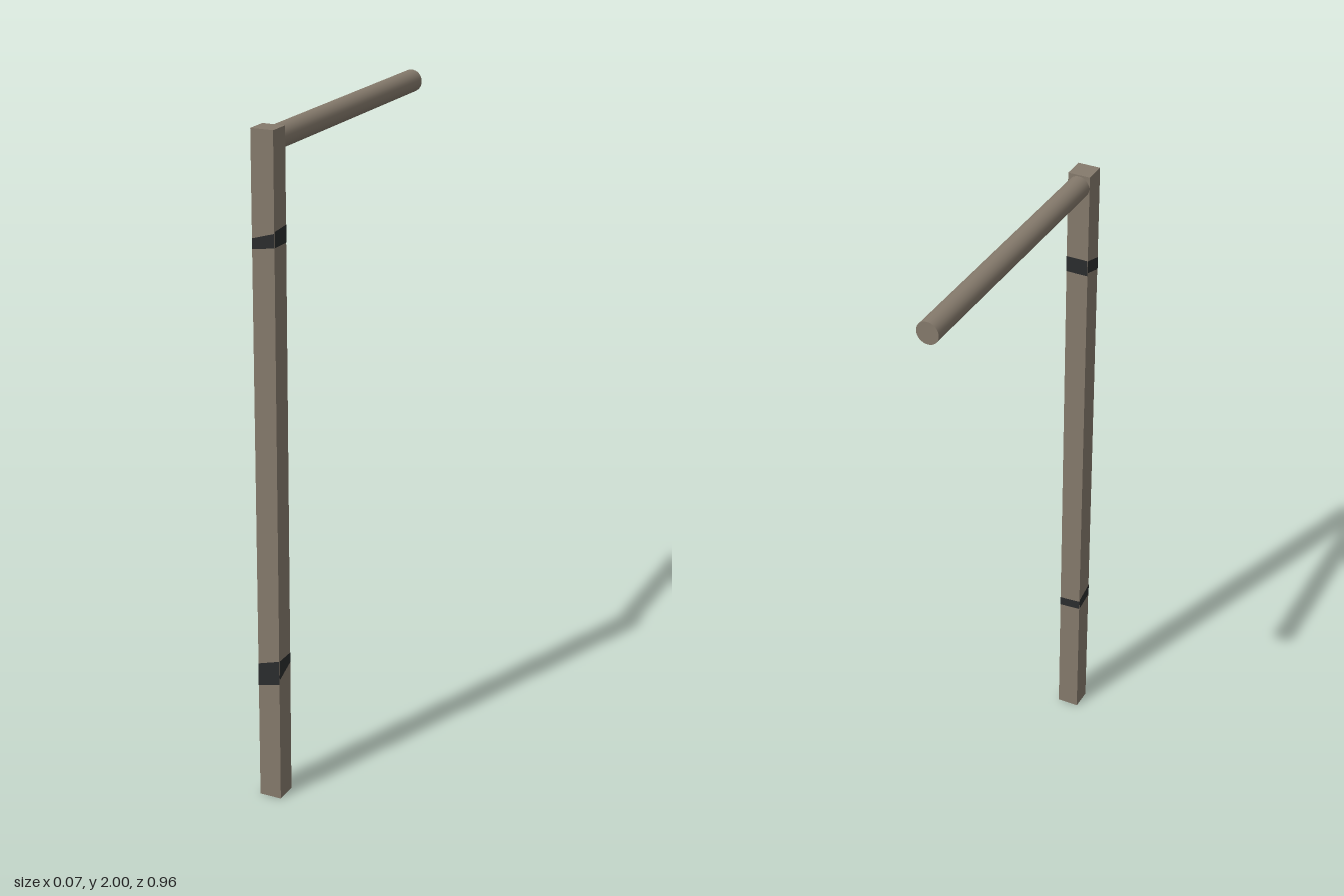
import * as THREE from 'three';

const HALF = 0.034, POST_Z = 0.443, HEIGHT = 2;

export function createModel() {
  const group = new THREE.Group();
  const wood = new THREE.MeshStandardMaterial({ color: 0x857a6c });
  wood.name = 'weathered wood';
  const dark = new THREE.MeshStandardMaterial({ color: 0x2a2c2d });
  dark.name = 'dark band';

  const add = (name, geometry, material, parent = group) => {
    const mesh = new THREE.Mesh(geometry, material);
    mesh.name = name;
    parent.add(mesh);
    return mesh;
  };

  // Upright square post
  add('post', new THREE.BoxGeometry(HALF * 2, HEIGHT, HALF * 2), wood)
    .position.set(0, HEIGHT / 2, POST_Z);

  // Round arm reaching back from the top of the post
  const arm = add('arm', new THREE.CylinderGeometry(0.0335, 0.0335, 0.886, 32), wood);
  arm.rotation.x = Math.PI / 2;
  arm.position.set(0, 1.963, -0.035);

  // Slanted dark bands: [left bottom, left top, right bottom, right top] on
  // each face as seen from outside; faces go front, right, back, left
  const bands = {
    upperBand: [
      [1.67, 1.70, 1.68, 1.72], [1.68, 1.725, 1.68, 1.73],
      [1.68, 1.73, 1.68, 1.73], [1.69, 1.73, 1.67, 1.71],
    ],
    lowerBand: [
      [0.36, 0.43, 0.375, 0.45], [0.39, 0.45, 0.42, 0.45],
      [0.42, 0.45, 0.425, 0.455], [0.425, 0.46, 0.44, 0.48],
    ],
  };
  for (const [name, faces] of Object.entries(bands)) {
    const band = new THREE.Group();
    band.name = name;
    band.position.z = POST_Z;
    group.add(band);
    faces.forEach(([lb, lt, rb, rt], i) => {
      const shape = new THREE.Shape();
      shape.moveTo(-HALF, lb);
      shape.lineTo(HALF, rb);
      shape.lineTo(HALF, rt);
      shape.lineTo(-HALF, lt);
      const geometry = new THREE.ShapeGeometry(shape);
      geometry.translate(0, 0, HALF + 0.001);
      geometry.rotateY(i * Math.PI / 2);
      add(name + 'Face', geometry, dark, band);
    });
  }
  return group;
}
